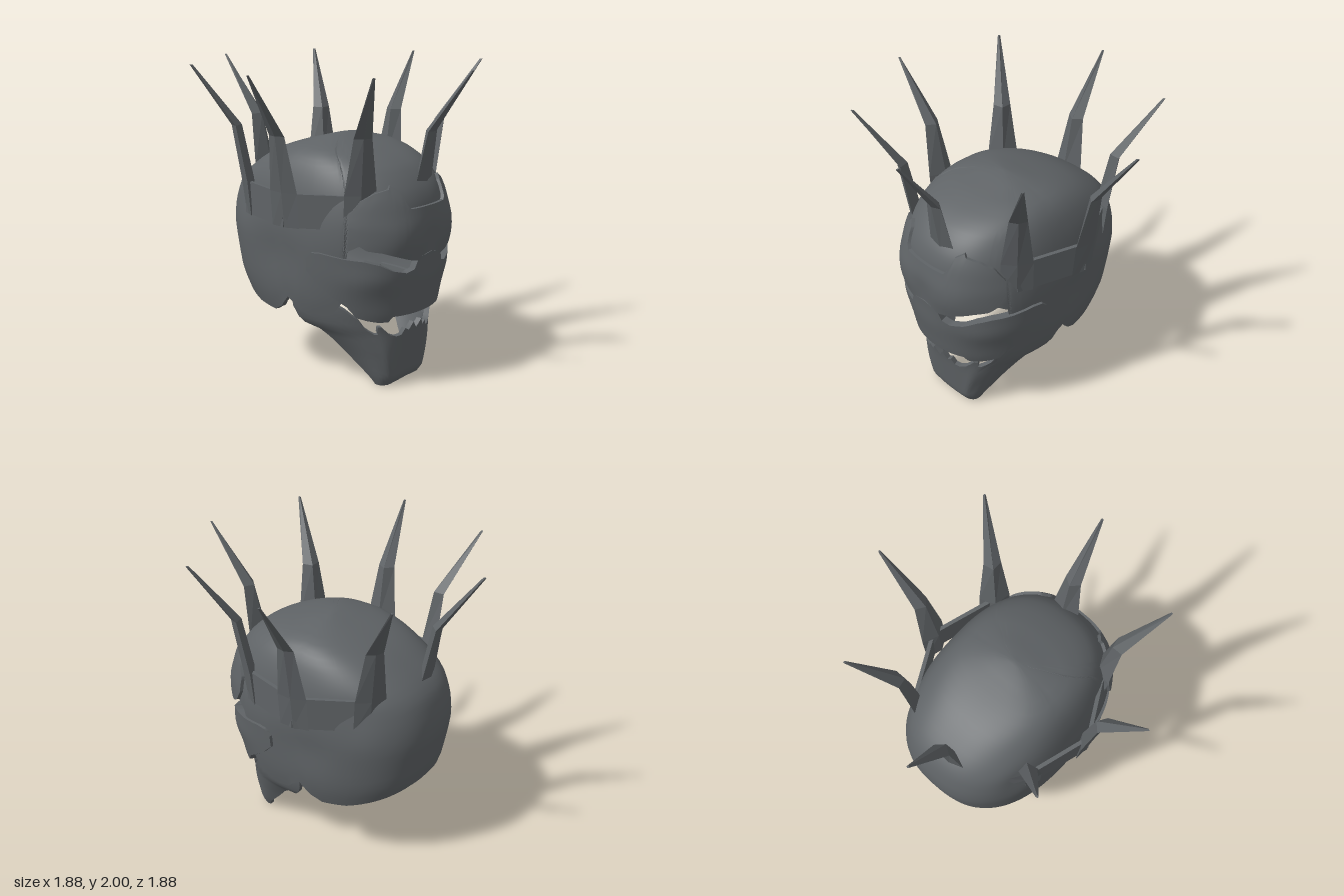
import * as THREE from 'three';
import { toCreasedNormals } from 'three/addons/utils/BufferGeometryUtils.js';

const RAD = Math.PI / 180;
const iron = new THREE.MeshStandardMaterial({ color: 0x5f6366, side: THREE.DoubleSide });
iron.name = 'dark iron';

// Piecewise linear lookup: rows start with their key, column c is returned
function look(rows, key, c = 1) {
  if (key <= rows[0][0]) return rows[0][c];
  for (let i = 1; i < rows.length; i++) {
    const a = rows[i - 1], b = rows[i];
    if (key <= b[0]) return a[c] + (b[c] - a[c]) * (key - a[0]) / (b[0] - a[0]);
  }
  return rows[rows.length - 1][c];
}
// Averaged lookup, rounds the corners of a profile
function soft(rows, key, c) {
  const d = Math.min(0.035, Math.max(0, rows[rows.length - 1][0] - key));
  return (look(rows, key - d, c) + 2 * look(rows, key, c) + look(rows, key + d, c)) / 4;
}
const power = (v, p) => Math.sign(v) * Math.pow(Math.abs(v), p);
const bump = (v, width) => Math.exp(-(v * v) / (width * width));

// Head profile: height, half width, front z, back z
const HEAD = [
  [0.40, 0.45, 0.63, -0.57], [0.50, 0.485, 0.665, -0.62], [0.62, 0.505, 0.68, -0.69],
  [0.80, 0.52, 0.70, -0.725], [0.95, 0.53, 0.72, -0.748], [1.08, 0.522, 0.718, -0.735],
  [1.22, 0.495, 0.69, -0.69], [1.30, 0.475, 0.65, -0.61], [1.40, 0.435, 0.56, -0.46],
  [1.46, 0.39, 0.45, -0.34], [1.50, 0.345, 0.33, -0.21], [1.53, 0.25, 0.22, -0.11],
  [1.55, 0.14, 0.13, -0.02], [1.56, 0, 0.05, 0.05],
];
// Jaw profile: height, half width, front z, rear edge z, corner sharpness (lower is boxier)
const JAW = [
  [0, 0.2, 0.54, 0.46, 0.6], [0.05, 0.225, 0.575, 0.44, 0.62], [0.1, 0.245, 0.585, 0.39, 0.64],
  [0.2, 0.29, 0.6, 0.3, 0.7], [0.3, 0.345, 0.615, 0.22, 0.8], [0.36, 0.385, 0.625, 0.15, 0.86],
  [0.4, 0.435, 0.635, 0.04, 0.9], [0.5, 0.465, 0.655, 0, 0.9], [0.6, 0.48, 0.66, 0, 0.9],
];

function headPoint(u, y, off) {
  const s = Math.sin(u * RAD), c = Math.cos(u * RAD), zc = 0.05;
  const taper = Math.min(1, (1.56 - y) / 0.06);
  const p = c > 0 ? 0.85 + 0.06 * (1 - THREE.MathUtils.smoothstep(y, 0.5, 0.85)) : 0.8;
  const w = soft(HEAD, y, 1) + off * taper;
  const r = (c > 0 ? soft(HEAD, y, 2) - zc : zc - soft(HEAD, y, 3)) + off * taper;
  const lift = off * THREE.MathUtils.smoothstep(y, 1.25, 1.56);
  return [w * power(s, p), y + lift, zc + r * power(c, p)];
}
function jawPoint(u, y, off) {
  const zc = look(JAW, y, 3), p = look(JAW, y, 4);
  return [(look(JAW, y, 1) + off) * power(Math.sin(u * RAD), p), y,
    zc + (look(JAW, y, 2) - zc + off) * power(Math.cos(u * RAD), p)];
}

// Thick curved plate between a lower and an upper border, both given by angle from the front
function plate(name, { point, end, step, low, high, rows, thick, offset }) {
  const half = new Set([0, end]);
  for (let u = step; u < end; u += step) half.add(u);
  for (const [u] of [...low, ...high]) if (u < end) half.add(u);
  const right = [...half].sort((a, b) => a - b);
  const us = [...right.slice(1).reverse().map(u => -u), ...right];
  const pos = [], idx = [], ring = 2 * (rows + 1);
  for (const u of us) {
    const lo = look(low, Math.abs(u)), hi = look(high, Math.abs(u));
    for (let j = 0; j < ring; j++) {
      const inner = j > rows;
      let t = (inner ? ring - 1 - j : j) / rows;
      if (hi > 1.5) t = 1 - Math.pow(1 - t, 1.7);
      const y = lo + (hi - lo) * t;
      pos.push(...point(u, y, offset(u, y) - (inner ? thick : 0)));
    }
  }
  const quad = (a, b, c, d) => idx.push(a, b, c, a, c, d);
  for (let i = 0; i < us.length - 1; i++) {
    for (let j = 0; j < ring; j++) {
      const k = (j + 1) % ring, a = i * ring, b = a + ring;
      quad(a + j, b + j, b + k, a + k);
    }
  }
  // Close the two ends of an open plate
  if (end < 180) {
    const z = (us.length - 1) * ring;
    for (let j = 0; j < rows; j++) {
      quad(ring - 1 - j, j, j + 1, ring - 2 - j);
      quad(z + j, z + ring - 1 - j, z + ring - 2 - j, z + j + 1);
    }
  }
  const geo = new THREE.BufferGeometry();
  geo.setAttribute('position', new THREE.Float32BufferAttribute(pos, 3));
  geo.setIndex(idx);
  const mesh = new THREE.Mesh(toCreasedNormals(geo, 0.75), iron);
  mesh.name = name;
  return mesh;
}

// Crown spike: flat diamond section, bent outwards at the elbow
function spikeGeometry(base) {
  // Height, outer ridge, side edges, inner ridge, half width
  const levels = [[base, 0.61, 0.595, 0.55, 0.1], [1.27, 0.638, 0.615, 0.56, 0.1],
    [1.62, 0.695, 0.675, 0.63, 0.056], [2, 0.944, 0.937, 0.925, 0.008]];
  const pos = [], idx = [];
  for (const [y, outer, side, inner, w] of levels) {
    pos.push(-w, y, side, 0, y, outer, w, y, side, 0, y, inner);
  }
  for (let i = 0; i < levels.length - 1; i++) {
    for (let j = 0; j < 4; j++) {
      const k = (j + 1) % 4, a = i * 4, b = a + 4;
      idx.push(a + j, a + k, b + k, a + j, b + k, b + j);
    }
  }
  idx.push(0, 2, 1, 0, 3, 2, 12, 13, 14, 12, 14, 15);
  const geo = new THREE.BufferGeometry();
  geo.setAttribute('position', new THREE.Float32BufferAttribute(pos, 3));
  geo.setIndex(idx);
  const flat = geo.toNonIndexed();
  flat.computeVertexNormals();
  return flat;
}

export function createModel() {
  const model = new THREE.Group();
  model.name = 'crownedSkullMask';

  // Hollow cranium, open below, with side walls reaching down to the jaw hinge
  model.add(plate('cranium', {
    point: headPoint, end: 180, step: 3, rows: 26, thick: 0.03,
    low: [[0, 1.1], [46, 1.1], [50, 0.97], [58, 0.93], [61, 0.58], [67, 0.5], [80, 0.46], [88, 0.48],
      [93, 0.56], [98, 0.48], [105, 0.435], [121, 0.45], [147, 0.53], [165, 0.6], [180, 0.62]],
    high: [[0, 1.56]],
    offset: (u, y) => -0.015 * bump(Math.abs(u) - 98, 12) * bump(y - 0.85, 0.15)
      - 0.012 * bump(Math.abs(u) - 122, 10) * bump(y - 1.12, 0.12),
  }));

  // Heavy brow with a notched upper edge and a furrow above the nose
  model.add(plate('browPlate', {
    point: headPoint, end: 57, step: 2, rows: 12, thick: 0.05,
    low: [[0, 0.85], [9, 0.85], [17, 0.87], [26, 0.9], [36, 0.93], [46, 0.945], [52, 0.98], [57, 1.06]],
    high: [[0, 1.18], [15, 1.18], [18, 1.21], [21, 1.29], [27, 1.32], [29, 1.3], [40, 1.28], [50, 1.24], [57, 1.16]],
    offset: (u, y) => 0.02 + 0.014 * bump(Math.abs(u) - 22, 16) * bump(y - 1.02, 0.12)
      - 0.01 * bump(u, 6) * bump(y - 0.95, 0.1),
  }));

  // Nose and swept cheekbones under the eye openings
  model.add(plate('cheekPlate', {
    point: headPoint, end: 82, step: 2, rows: 12, thick: 0.05,
    low: [[0, 0.5], [26, 0.5], [29, 0.465], [36, 0.465], [44, 0.48], [51, 0.5], [57, 0.57],
      [66, 0.63], [76, 0.71], [82, 0.78]],
    high: [[0, 0.89], [9, 0.87], [12, 0.8], [18, 0.785], [28, 0.81], [37, 0.85], [47, 0.875],
      [60, 0.885], [74, 0.905], [79, 0.9], [82, 0.86]],
    offset: (u, y) => 0.018 + 0.016 * bump(Math.abs(u) - 42, 20) * bump(y - 0.74, 0.09)
      + 0.01 * bump(u, 14) * bump(y - 0.72, 0.12),
  }));

  // Tapered jaw with ragged teeth and two fangs
  model.add(plate('lowerJaw', {
    point: jawPoint, end: 90, step: 2, rows: 16, thick: 0.035,
    low: [[0, 0.02], [14, 0.012], [40, 0], [90, 0]],
    high: [[0, 0.37], [4, 0.42], [8, 0.37], [12, 0.39], [16, 0.35], [22, 0.345], [28, 0.36], [33, 0.42],
      [36, 0.42], [39, 0.37], [42, 0.37], [46, 0.41], [50, 0.47], [58, 0.53], [66, 0.57], [90, 0.57]],
    offset: (u, y) => 0.008 * bump(Math.abs(u) - 38, 10) * bump(y - 0.2, 0.15),
  }));

  // Crown of eight spikes, joined along the temples by flat plates
  const crown = new THREE.Group();
  crown.name = 'crown';
  const sideSpike = spikeGeometry(1.05), endSpike = spikeGeometry(1.22);
  const link = new THREE.BoxGeometry(0.46, 0.21, 0.025);
  for (let k = 0; k < 8; k++) {
    const angle = (6.3 + 45 * k) * RAD;
    const onSide = [1, 2, 5, 6].includes(k);
    const spike = new THREE.Mesh(onSide || k === 3 || k === 7 ? sideSpike : endSpike, iron);
    spike.name = 'crownSpike';
    spike.rotation.y = angle;
    crown.add(spike);
    if (onSide) {
      const mid = angle + 22.5 * RAD;
      const strip = new THREE.Mesh(link, iron);
      strip.name = 'crownBand';
      strip.position.set(0.56 * Math.sin(mid), 1.155, 0.56 * Math.cos(mid));
      strip.rotation.y = mid;
      crown.add(strip);
    }
  }
  model.add(crown);
  return model;
}
